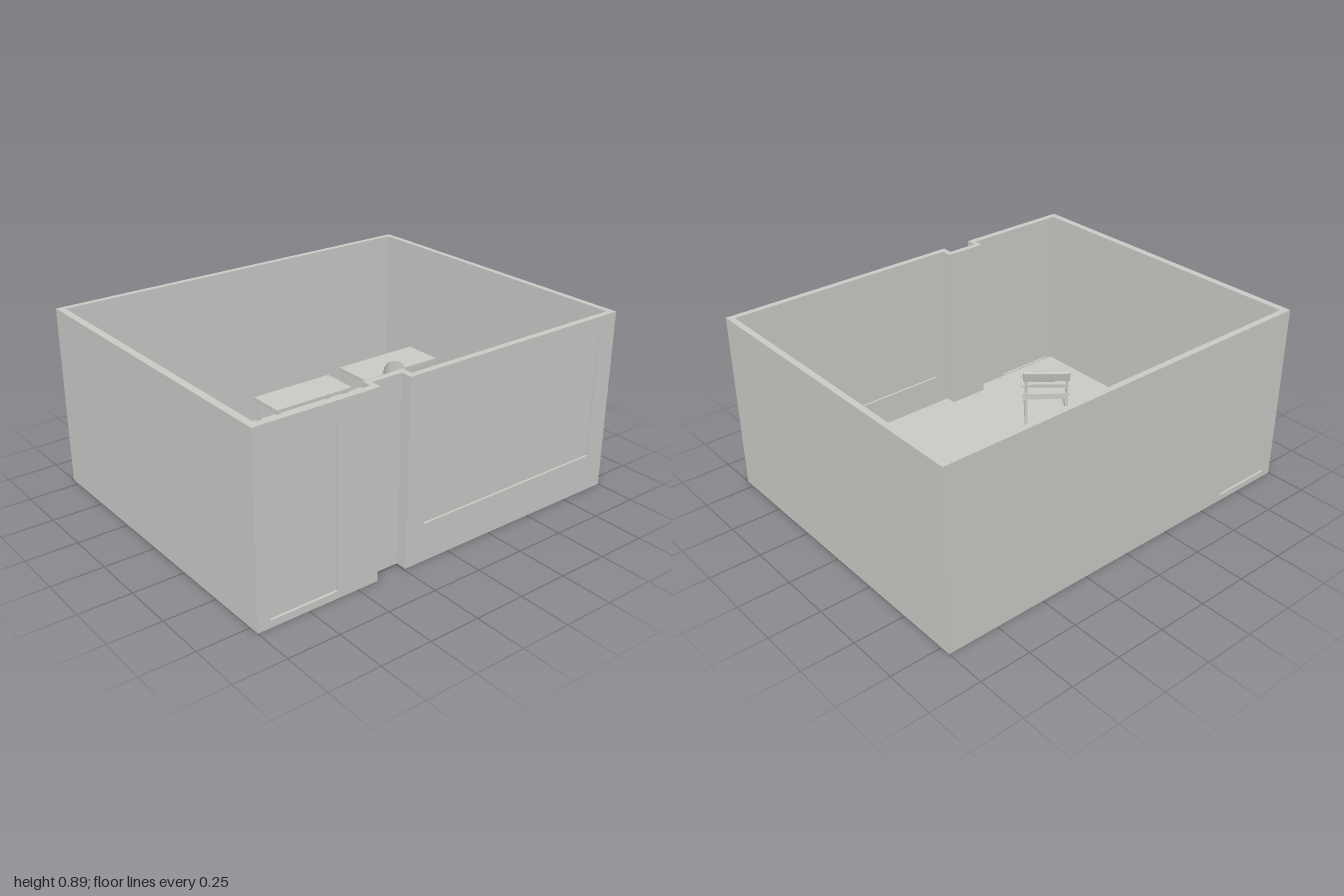
import * as THREE from 'three';
import { RoundedBoxGeometry } from 'three/addons/geometries/RoundedBoxGeometry.js';

const grey = new THREE.MeshStandardMaterial({ color: 0xc9c8c5 });
grey.name = 'plain grey';

const H = 0.89, FLOOR = 0.03;

function add(parent, name, geometry, x = 0, y = 0, z = 0) {
  const mesh = new THREE.Mesh(geometry, grey);
  mesh.name = name;
  mesh.position.set(x, y, z);
  parent.add(mesh);
  return mesh;
}

// Box given by its limits
function block(parent, name, x0, x1, y0, y1, z0, z1) {
  return add(parent, name, new THREE.BoxGeometry(x1 - x0, y1 - y0, z1 - z0),
    (x0 + x1) / 2, (y0 + y1) / 2, (z0 + z1) / 2);
}

function tube(parent, name, points, radius) {
  const curve = new THREE.CatmullRomCurve3(points.map(p => new THREE.Vector3(...p)));
  return add(parent, name, new THREE.TubeGeometry(curve, 16, radius, 8), 0, 0, 0);
}

// Side wall with one opening, filled by a thin recessed panel
function sideWall(parent, name, x0, x1, z0, z1, o) {
  const shape = new THREE.Shape([[-z1, 0], [-z0, 0], [-z0, H], [-z1, H]].map(p => new THREE.Vector2(...p)));
  shape.holes.push(new THREE.Path([[-o.z1, o.y0], [-o.z1, o.y1], [-o.z0, o.y1], [-o.z0, o.y0]]
    .map(p => new THREE.Vector2(...p))));
  const g = new THREE.ExtrudeGeometry(shape, { depth: x1 - x0, bevelEnabled: false });
  g.rotateY(Math.PI / 2);
  add(parent, name, g, x0, 0, 0);
  const mid = (x0 + x1) / 2;
  block(parent, o.name, mid - 0.004, mid + 0.004, o.y0, o.y1, o.z0, o.z1);
}

function buildRoom() {
  const room = new THREE.Group();
  room.name = 'room';
  // Floor follows the inner outline, with the niche cut out
  const plan = [[-0.775, -0.97], [0.77, -0.97], [0.77, 0.21], [0.715, 0.21], [0.715, 0.42], [0.77, 0.42], [0.77, 0.965], [-0.775, 0.965]];
  const floor = new THREE.ExtrudeGeometry(new THREE.Shape(plan.map(([x, z]) => new THREE.Vector2(x, -z))),
    { depth: FLOOR, bevelEnabled: false });
  floor.rotateX(-Math.PI / 2);
  add(room, 'floor', floor);

  block(room, 'backWall', -0.8, 0.8, 0, H, -1, -0.97);
  block(room, 'frontWall', -0.8, 0.8, 0, H, 0.965, 1);
  sideWall(room, 'leftHandWall', -0.8, -0.77, -0.97, 0.965,
    { name: 'sideDoor', z0: 0.63, z1: 0.95, y0: 0.03, y1: 0.79 });
  sideWall(room, 'windowWall', 0.77, 0.8, -0.97, 0.24,
    { name: 'windowPane', z0: -0.9, z1: 0.145, y0: 0.185, y1: 0.79 });
  sideWall(room, 'doorWall', 0.767, 0.8, 0.395, 0.965,
    { name: 'door', z0: 0.605, z1: 0.94, y0: 0.035, y1: 0.79 });
  // Niche between door and window
  block(room, 'nicheBack', 0.715, 0.745, 0, H, 0.24, 0.395);
  block(room, 'nicheSideBack', 0.715, 0.77, 0, H, 0.21, 0.24);
  block(room, 'nicheSideFront', 0.715, 0.767, 0, H, 0.395, 0.42);
  return room;
}

function buildDesk(name, x0, x1, z0, z1, top) {
  const desk = new THREE.Group();
  desk.name = name;
  block(desk, 'deskTop', x0, x1, top - 0.018, top, z0, z1);
  for (const x of [x0 + 0.018, x1 - 0.018]) {
    for (const z of [z0 + 0.018, z1 - 0.018]) {
      block(desk, 'deskLeg', x - 0.009, x + 0.009, FLOOR, top - 0.018, z - 0.009, z + 0.009);
    }
  }
  return desk;
}

// Swivel chair, facing +x
function buildSwivelChair() {
  const chair = new THREE.Group();
  chair.name = 'swivelChair';
  const profile = [[0, 0.157], [0.07, 0.157], [0.083, 0.163], [0.088, 0.172], [0.083, 0.181], [0.065, 0.186], [0, 0.183]];
  add(chair, 'seat', new THREE.LatheGeometry(profile.map(p => new THREE.Vector2(...p)), 32));
  add(chair, 'column', new THREE.CylinderGeometry(0.009, 0.012, 0.12, 16), 0, 0.1, 0);
  add(chair, 'hub', new THREE.CylinderGeometry(0.016, 0.02, 0.022, 16), 0, 0.042, 0);

  // Bent backrest with a rounded outline
  const back = new THREE.BoxGeometry(0.013, 0.155, 0.15, 1, 14, 14);
  const p = back.attributes.position;
  for (let i = 0; i < p.count; i++) {
    const t = Math.abs(p.getY(i)) / 0.0775;
    const z = p.getZ(i) * Math.pow(Math.max(1 - t ** 4, 0.03), 0.3);
    p.setZ(i, z);
    p.setX(i, p.getX(i) - 0.105 + 7 * z * z);
  }
  back.computeVertexNormals();
  add(chair, 'backrest', back, 0, 0.288, 0);
  tube(chair, 'backSupport', [[0, 0.15, 0], [-0.07, 0.145, 0], [-0.112, 0.18, 0], [-0.116, 0.29, 0]], 0.006);

  for (const s of [-1, 1]) {
    add(chair, 'armrest', new RoundedBoxGeometry(0.095, 0.014, 0.024, 2, 0.006), 0.012, 0.232, s * 0.086);
    tube(chair, 'armSupport', [[0.01, 0.157, s * 0.05], [0.01, 0.165, s * 0.09], [0.01, 0.195, s * 0.093], [0.01, 0.23, s * 0.087]], 0.005);
  }
  // Five-armed base with casters
  for (let i = 0; i < 5; i++) {
    const arm = new THREE.Group();
    arm.name = 'baseArm';
    arm.rotation.y = Math.PI + i * Math.PI * 2 / 5;
    tube(arm, 'baseSpoke', [[0, 0.044, 0], [0.06, 0.038, 0], [0.115, 0.028, 0]], 0.007);
    const wheel = new THREE.CylinderGeometry(0.012, 0.012, 0.016, 16);
    wheel.rotateX(Math.PI / 2);
    add(arm, 'caster', wheel, 0.113, 0.012, 0);
    chair.add(arm);
  }
  chair.position.set(-0.185, FLOOR, -0.58);
  return chair;
}

// Four-legged chair, facing +x
function buildSideChair() {
  const chair = new THREE.Group();
  chair.name = 'sideChair';
  block(chair, 'seat', -0.12, 0.125, 0.178, 0.192, -0.122, 0.122);
  for (const s of [-1, 1]) {
    const z = s * 0.105;
    block(chair, 'frontLeg', 0.098, 0.114, 0, 0.178, z - 0.008, z + 0.008);
    block(chair, 'backLeg', -0.114, -0.098, 0, 0.19, z - 0.008, z + 0.008);
    const post = add(chair, 'backPost', new THREE.BoxGeometry(0.012, 0.15, 0.014), -0.116, 0.25, z);
    post.rotation.z = 0.13;
    block(chair, 'sideStretcher', -0.106, 0.106, 0.07, 0.082, z - 0.005, z + 0.005);
  }
  block(chair, 'frontApron', 0.1, 0.112, 0.155, 0.178, -0.1, 0.1);
  block(chair, 'backApron', -0.112, -0.1, 0.155, 0.178, -0.1, 0.1);
  // Leaning back boards
  const board = add(chair, 'backBoard', new RoundedBoxGeometry(0.018, 0.06, 0.24, 3, 0.008), -0.122, 0.295, 0);
  board.rotation.z = 0.25;
  const slat = add(chair, 'backSlat', new THREE.BoxGeometry(0.01, 0.018, 0.21), -0.114, 0.238, 0);
  slat.rotation.z = 0.13;
  chair.position.set(0.303, FLOOR, 0.503);
  chair.rotation.y = -0.69;
  return chair;
}

export function createModel() {
  const model = new THREE.Group();
  model.name = 'furnishedRoom';
  model.add(buildRoom());
  model.add(buildDesk('backDesk', -0.555, -0.34, -0.96, -0.46, 0.305));
  model.add(buildDesk('frontDesk', -0.55, -0.345, -0.38, 0.095, 0.285));
  model.add(buildSwivelChair());
  model.add(buildSideChair());
  return model;
}
